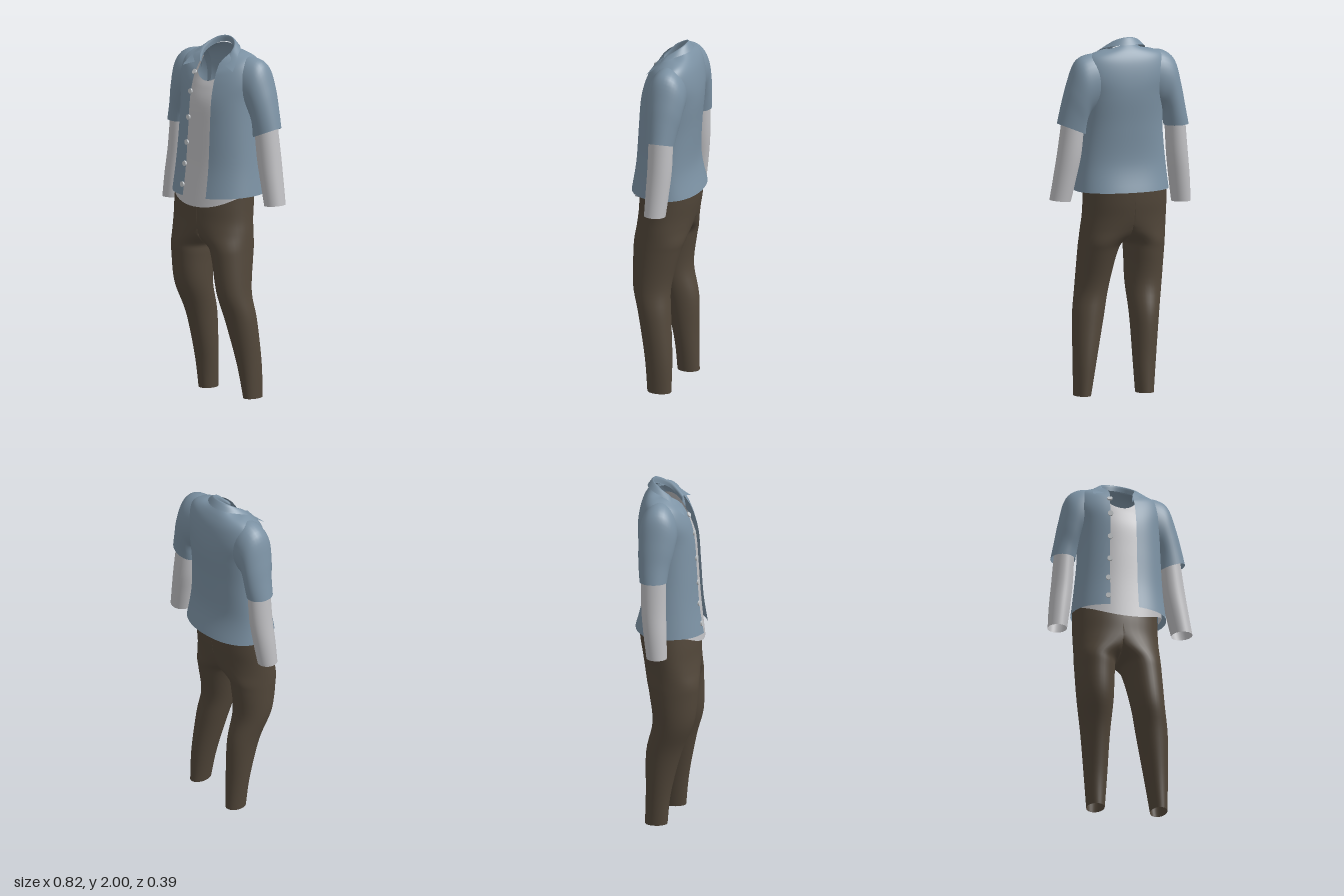
import * as THREE from 'three';

const mat = (name, color) => {
  const m = new THREE.MeshStandardMaterial({ color, side: THREE.DoubleSide });
  m.name = name;
  return m;
};

// Smooth surface from a grid of points; keep() can leave faces out
function grid(rows, cols, point, closed = false, keep = () => true) {
  const pos = [], index = [], pts = [];
  const n = closed ? cols : cols + 1;
  for (let r = 0; r <= rows; r++) for (let c = 0; c < n; c++) {
    const p = point(r / rows, c / cols);
    pts.push(p);
    pos.push(...p);
  }
  for (let r = 0; r < rows; r++) for (let c = 0; c < cols; c++) {
    const d = (c + 1) % n;
    const q = [r * n + c, r * n + d, (r + 1) * n + d, (r + 1) * n + c];
    if (keep(q.map(i => pts[i]))) index.push(q[0], q[1], q[2], q[0], q[2], q[3]);
  }
  const g = new THREE.BufferGeometry();
  g.setAttribute('position', new THREE.Float32BufferAttribute(pos, 3));
  g.setIndex(index);
  g.computeVertexNormals();
  return g;
}

// Catmull-Rom blend of a list of number rows
function blend(rows, t) {
  const f = t * (rows.length - 1), i = Math.min(Math.floor(f), rows.length - 2), u = f - i;
  const at = k => rows[Math.max(0, Math.min(rows.length - 1, k))];
  const [a, b, c, d] = [at(i - 1), at(i), at(i + 1), at(i + 2)];
  return b.map((v, k) => v + 0.5 * u * (c[k] - a[k] + u * (2 * a[k] - 5 * v + 4 * c[k] - d[k]
    + u * (3 * (v - c[k]) + d[k] - a[k]))));
}

const soft = v => Math.sign(v) * Math.abs(v) ** 0.92;

// Torso ring: centre x, half width, side z, front z, back z, front y, side y, back y
function torsoPoint([cx, rx, zs, zf, zb, yf, ys, yb], angle) {
  const s = Math.sin(angle), c = Math.cos(angle), front = c > 0;
  return [cx + rx * soft(s), ys + ((front ? yf : yb) - ys) * c * c,
    zs + Math.abs(soft(c)) * ((front ? zf : zb) - zs)];
}

// Limb ring: outer x, outer y, inner x, inner y, front z, back z
function limb(rings, limit) {
  return grid((rings.length - 1) * 5, 36, (t, u) => {
    const [xo, yo, xi, yi, zf, zb] = blend(rings, t);
    const c = Math.cos(u * Math.PI * 2), s = Math.sin(u * Math.PI * 2);
    const x = (xo + xi) / 2 + (xo - xi) / 2 * c;
    return [limit ? limit(x) : x, (yo + yi) / 2 + (yo - yi) / 2 * c, (zf + zb) / 2 + (zf - zb) / 2 * s];
  }, true, q => !limit || q.some(p => Math.abs(p[0] - MIDDLE) > 1e-6));
}

const MIDDLE = -0.04; // plane where the trouser halves meet

export function createModel() {
  const model = new THREE.Group();
  const blue = mat('blue cloth', 0x7c92a4);
  const pale = mat('pale grey cloth', 0xbfbfc2);
  const brown = mat('brown cloth', 0x52473a);
  const buttonGrey = mat('button grey', 0xc6cacd);
  const add = (name, geometry, material) => {
    const m = new THREE.Mesh(geometry, material);
    m.name = name;
    model.add(m);
    return m;
  };

  // Open overshirt, hem to neck
  const shirt = [
    [-0.018, 0.267, -0.02, 0.198, -0.2, 1.135, 1.145, 1.145],
    [-0.018, 0.25, -0.02, 0.172, -0.165, 1.3, 1.3, 1.3],
    [-0.015, 0.235, -0.02, 0.158, -0.172, 1.5, 1.5, 1.5],
    [-0.015, 0.235, -0.04, 0.147, -0.187, 1.66, 1.67, 1.67],
    [-0.02, 0.25, -0.06, 0.127, -0.185, 1.75, 1.8, 1.77],
    [-0.022, 0.222, -0.065, 0.105, -0.168, 1.81, 1.89, 1.86],
    [-0.025, 0.155, -0.065, 0.095, -0.14, 1.83, 1.925, 1.92],
    [-0.025, 0.095, -0.03, 0.09, -0.105, 1.835, 1.93, 1.96],
  ];
  const edge = (x, cx, rx) => {
    const v = (x - cx) / rx;
    return Math.asin(Math.sign(v) * Math.min(1, Math.abs(v)) ** (1 / 0.92));
  };
  add('shirtBody', grid(42, 64, (t, u) => {
    const r = blend(shirt, t);
    const from = edge(0.04, r[0], r[1]);
    const to = edge(-0.12 + 0.03 * t, r[0], r[1]) + Math.PI * 2;
    return torsoPoint(r, from + (to - from) * u);
  }), blue);

  // Undershirt front, with a curved hem and a dipped neckline
  const under = [
    [-0.025, 0.247, -0.02, 0.182, -0.17, 1.08, 1.16, 1.16],
    [-0.018, 0.238, -0.02, 0.158, -0.15, 1.3, 1.3, 1.3],
    [-0.015, 0.222, -0.02, 0.144, -0.16, 1.5, 1.5, 1.5],
    [-0.015, 0.22, -0.04, 0.132, -0.17, 1.65, 1.66, 1.66],
    [-0.02, 0.18, -0.05, 0.108, -0.16, 1.735, 1.78, 1.77],
    [-0.027, 0.12, -0.04, 0.09, -0.14, 1.775, 1.88, 1.87],
  ];
  add('undershirtFront', grid(30, 40, (t, u) =>
    torsoPoint(blend(under, t), (u - 0.5) * Math.PI * 1.1)), pale);

  // Short sleeves
  add('rightShortSleeve', limb([
    [-0.15, 1.915, -0.17, 1.62, 0.045, -0.15],
    [-0.235, 1.915, -0.195, 1.6, 0.05, -0.16],
    [-0.308, 1.86, -0.22, 1.59, 0.045, -0.162],
    [-0.345, 1.72, -0.235, 1.57, 0.03, -0.162],
    [-0.367, 1.6, -0.245, 1.53, 0.01, -0.158],
    [-0.387, 1.5, -0.25, 1.495, 0.0, -0.152],
  ]), blue);
  add('leftShortSleeve', limb([
    [0.11, 1.91, 0.13, 1.61, 0.05, -0.15],
    [0.2, 1.908, 0.165, 1.59, 0.055, -0.155],
    [0.268, 1.87, 0.195, 1.57, 0.052, -0.155],
    [0.315, 1.75, 0.207, 1.54, 0.045, -0.145],
    [0.345, 1.64, 0.21, 1.5, 0.04, -0.13],
    [0.37, 1.53, 0.21, 1.465, 0.037, -0.118],
  ]), blue);

  // Long sleeves of the undershirt
  add('rightLongSleeve', limb([
    [-0.363, 1.57, -0.255, 1.56, -0.005, -0.145],
    [-0.383, 1.35, -0.265, 1.35, -0.005, -0.142],
    [-0.4, 1.2, -0.283, 1.2, 0.0, -0.128],
    [-0.41, 1.065, -0.303, 1.065, 0.003, -0.11],
  ]), pale);
  add('leftLongSleeve', limb([
    [0.335, 1.6, 0.218, 1.54, 0.027, -0.11],
    [0.367, 1.38, 0.235, 1.36, 0.027, -0.11],
    [0.39, 1.23, 0.264, 1.22, 0.03, -0.1],
    [0.41, 1.105, 0.292, 1.095, 0.032, -0.088],
  ]), pale);

  // Folded collar: stand, ridge and pointed flap
  add('collar', grid(8, 48, (t, u) => {
    const a = (u * 2 - 1) * 2.3, k = Math.abs(u * 2 - 1), s = Math.sin(a), c = Math.cos(a);
    const y = 1.94 + (c > 0 ? 0.06 : 0.1) * c;
    const w = 0.03 + 0.1 * k ** 5;
    const stand = [-0.022 + 0.09 * s, y - 0.035, -0.01 - 0.092 * c];
    const ridge = [-0.022 + 0.095 * s, y, -0.01 - 0.095 * c];
    const flap = [-0.022 + (0.095 + w) * s, y - 0.02 - 0.02 * c * c,
      -0.01 - (c > 0 ? 0.125 : 0.1) * c + 0.03 * k ** 5];
    return blend([stand, ridge, flap], t);
  }), blue);

  // Buttons down the right front edge
  const buttonGeo = new THREE.CylinderGeometry(0.015, 0.015, 0.009, 12).rotateX(Math.PI / 2);
  [[-0.1, 1.82, 0.1], [-0.105, 1.715, 0.132], [-0.11, 1.57, 0.145],
    [-0.115, 1.43, 0.154], [-0.125, 1.31, 0.16], [-0.13, 1.195, 0.175]].forEach(([x, y, z], i) => {
    const b = add('button' + (i + 1), buttonGeo, buttonGrey);
    b.position.set(x, y, z);
    b.rotation.set(i === 0 ? -0.6 : 0, -0.25, 0);
  });

  // Trouser halves, sharing the seat and parting below the crotch
  const leg = rows => rows.map(([y, xo, xi, zf, zb]) => [xo, y, xi, y, zf, zb]);
  add('leftTrouserLeg', limb(leg([
    [1.17, 0.2, -0.28, 0.155, -0.18], [1.08, 0.2, -0.28, 0.163, -0.172],
    [1.0, 0.202, -0.265, 0.165, -0.158], [0.93, 0.207, -0.17, 0.165, -0.14],
    [0.86, 0.21, -0.04, 0.165, -0.122], [0.79, 0.213, 0.0, 0.165, -0.1],
    [0.6, 0.225, 0.04, 0.16, -0.055], [0.44, 0.25, 0.075, 0.12, -0.062],
    [0.2, 0.26, 0.13, 0.075, -0.08], [0.005, 0.26, 0.168, 0.055, -0.08],
  ]), x => Math.max(x, MIDDLE)), brown);
  add('rightTrouserLeg', limb(leg([
    [1.17, -0.28, 0.2, 0.155, -0.18], [1.08, -0.282, 0.2, 0.163, -0.172],
    [1.0, -0.282, 0.185, 0.165, -0.158], [0.93, -0.28, 0.09, 0.165, -0.142],
    [0.86, -0.277, -0.038, 0.163, -0.125], [0.79, -0.274, -0.055, 0.158, -0.112],
    [0.62, -0.262, -0.06, 0.135, -0.095], [0.44, -0.225, -0.065, 0.065, -0.132],
    [0.2, -0.198, -0.07, 0.005, -0.135], [0.015, -0.18, -0.08, -0.015, -0.14],
  ]), x => Math.min(x, MIDDLE)), brown);

  return model;
}
